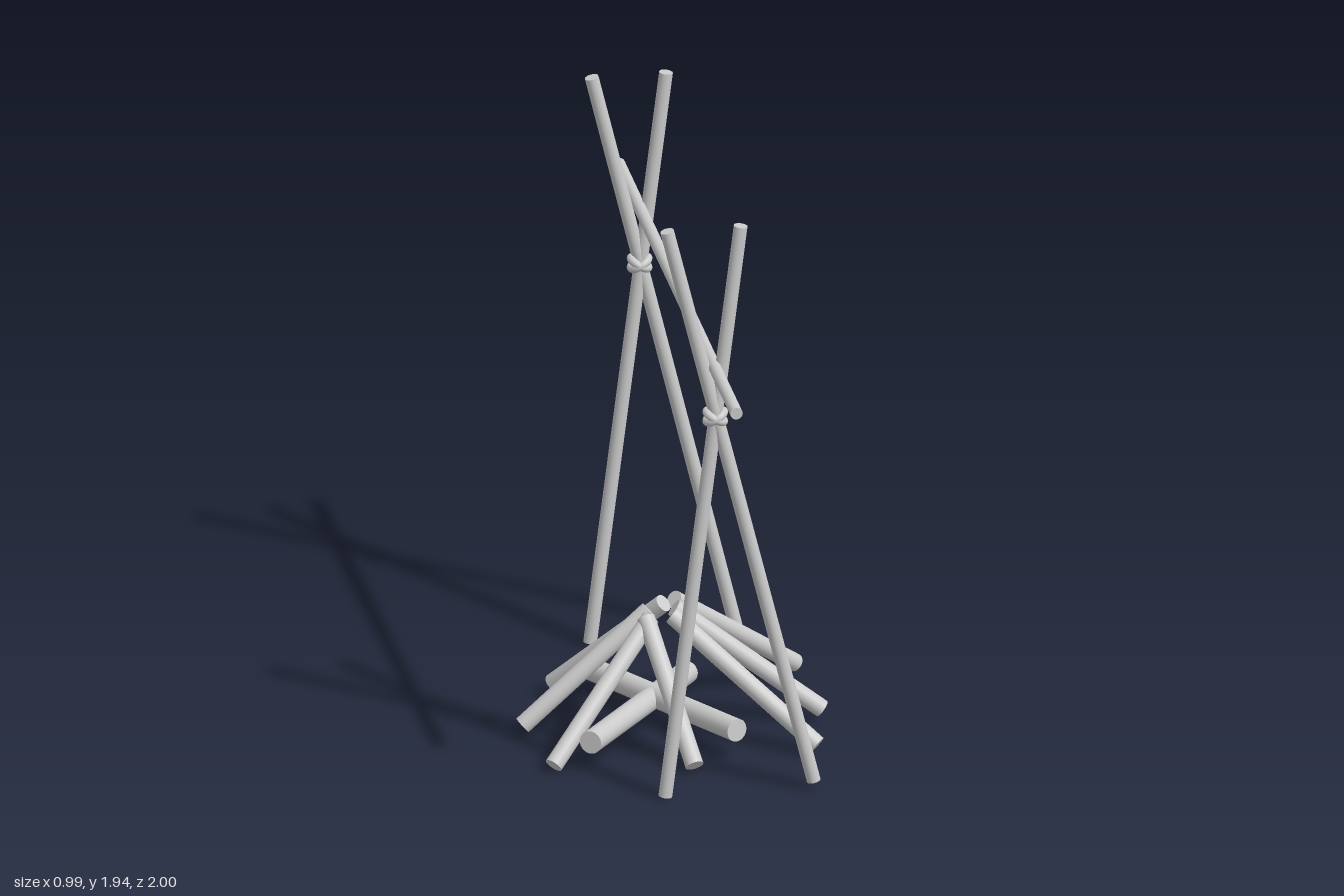
import * as THREE from 'three';

const material = new THREE.MeshStandardMaterial({ color: 0xcccccc });

// Round stick running between two points
function stick(name, from, to, radius) {
  const a = new THREE.Vector3(...from);
  const b = new THREE.Vector3(...to);
  const dir = b.clone().sub(a);
  const mesh = new THREE.Mesh(new THREE.CylinderGeometry(radius, radius, dir.length(), 20), material);
  mesh.name = name;
  mesh.position.copy(a).add(b).multiplyScalar(0.5);
  mesh.quaternion.setFromUnitVectors(new THREE.Vector3(0, 1, 0), dir.normalize());
  return mesh;
}

// Two crossed poles tied by two tilted rope loops
function support(name, poles, knot) {
  const group = new THREE.Group();
  group.name = name;
  poles.forEach(([foot, top]) => group.add(stick('pole', foot, top, 0.022)));
  const lashing = new THREE.Group();
  lashing.name = 'lashing';
  lashing.position.set(...knot);
  for (const side of [-1, 1]) {
    const geometry = new THREE.TorusGeometry(0.032, 0.013, 12, 32);
    geometry.rotateX(Math.PI / 2);
    geometry.rotateZ(side * 0.52);
    const loop = new THREE.Mesh(geometry, material);
    loop.name = 'ropeLoop';
    lashing.add(loop);
  }
  group.add(lashing);
  return group;
}

export function createModel() {
  const model = new THREE.Group();
  model.name = 'campfireSpit';

  // Supports at both ends
  model.add(support('frontSupport', [
    [[-0.075, 0.015, 0.63], [0.165, 1.94, 0.608]],
    [[0.397, 0.035, 0.595], [-0.07, 1.94, 0.632]],
  ], [0.083, 1.3, 0.623]));
  model.add(support('backSupport', [
    [[-0.192, 0.012, -0.652], [0.05, 1.935, -0.675]],
    [[0.272, 0.03, -0.69], [-0.187, 1.935, -0.655]],
  ], [-0.035, 1.295, -0.66]));

  // Crossbar resting in the forks
  model.add(stick('crossbar', [-0.068, 1.492, -1], [0.115, 1.464, 1], 0.02));

  // Firewood: two crossed base logs and a ring of leaning logs
  const firewood = new THREE.Group();
  firewood.name = 'firewood';
  firewood.add(stick('baseLog', [-0.29, 0.11, 0.4], [0.078, 0.06, -0.265], 0.037));
  firewood.add(stick('baseLog', [0.178, 0.11, 0.345], [-0.215, 0.06, -0.31], 0.037));
  const leaning = [
    [[-0.35, 0.05, -0.24], [-0.02, 0.4, -0.02]],
    [[0.425, 0.055, -0.32], [0.015, 0.405, -0.035]],
    [[0.475, 0.05, 0.05], [0.01, 0.4, 0.02]],
    [[0.435, 0.04, 0.32], [0.0, 0.395, 0.07]],
    [[0.035, 0.035, 0.44], [-0.085, 0.395, 0.085]],
    [[-0.405, 0.03, 0.385], [-0.07, 0.39, 0.075]],
    [[-0.475, 0.045, 0.085], [-0.07, 0.395, 0.02]],
  ];
  leaning.forEach(([foot, top]) => firewood.add(stick('leaningLog', foot, top, 0.029)));
  model.add(firewood);

  return model;
}
